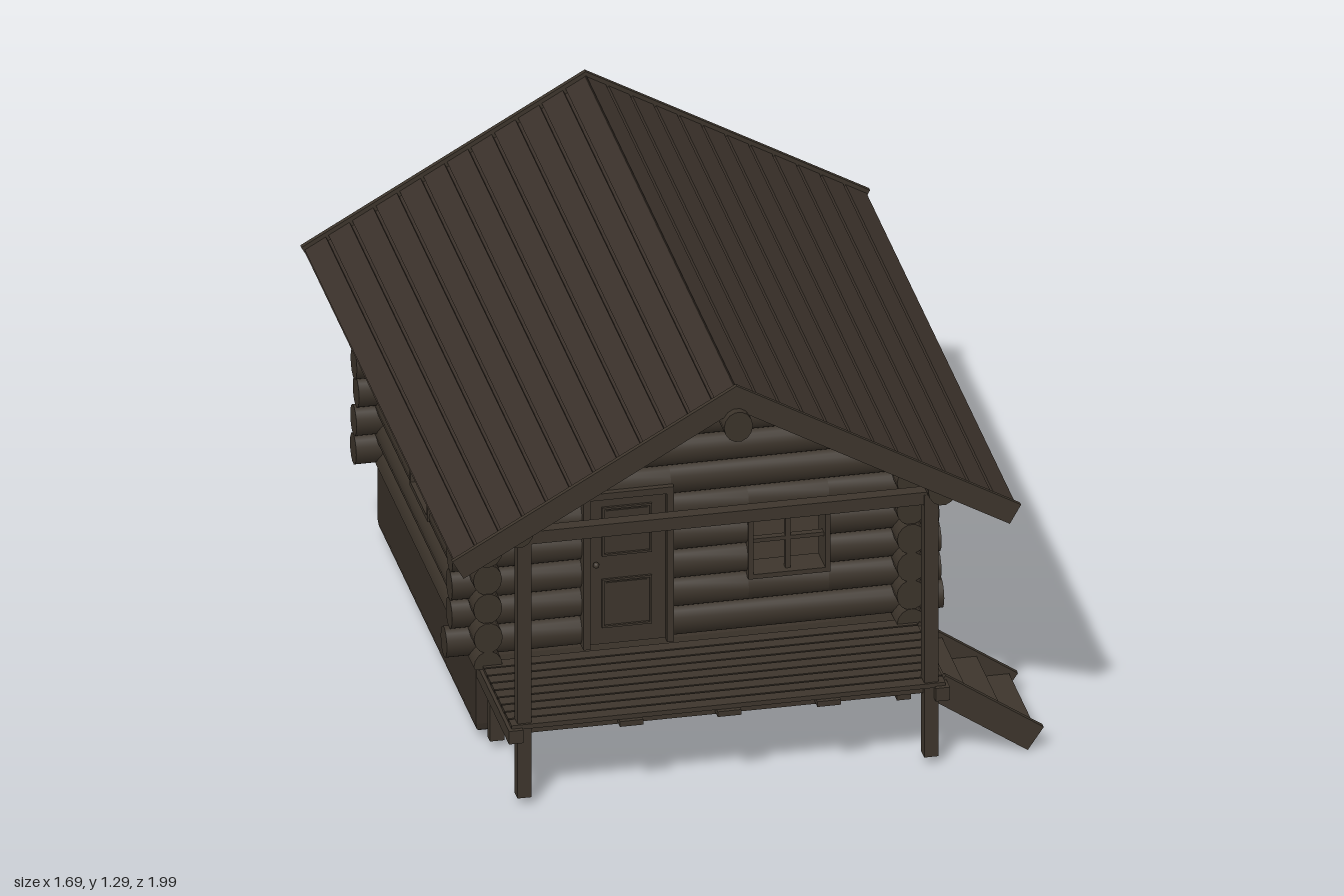
import * as THREE from 'three';
import { toCreasedNormals } from 'three/addons/utils/BufferGeometryUtils.js';

const mat = (name, color) => Object.assign(new THREE.MeshStandardMaterial({ color }), { name });
const logWood = mat('log wood', 0x3b332a);
const roofWood = mat('roof wood', 0x3a312a);
const trimWood = mat('trim wood', 0x3d352c);
const stone = mat('foundation', 0x372f27);

const CX = -0.045;                       // centre line of the house
const SLOPE = Math.atan(0.455 / 0.8);
const APEX = 1.295;
const R = 0.046, PITCH = 0.0875;         // log half height and row spacing

let seed = 7;
const rand = () => ((seed = (seed * 16807) % 2147483647) / 2147483647);
const jitter = () => (rand() - 0.5) * 0.02;

function box(parent, name, material, w, h, d, x, y, z) {
  const m = new THREE.Mesh(new THREE.BoxGeometry(w, h, d), material);
  m.name = name;
  m.position.set(x, y, z);
  parent.add(m);
  return m;
}

// Box given by its limits
const span = (parent, name, material, x0, x1, y0, y1, z0, z1) =>
  box(parent, name, material, x1 - x0, y1 - y0, z1 - z0, (x0 + x1) / 2, (y0 + y1) / 2, (z0 + z1) / 2);

// Log from a to b along an axis, cut flat at lo/hi and trimmed under the roof slope
function log(parent, name, axis, a, b, y, side, lo = -9, hi = 9) {
  const geo = new THREE.CylinderGeometry(R, R, b - a, 14).rotateZ(Math.PI / 2).scale(1, 1, 0.88);
  if (axis === 'z') geo.rotateY(Math.PI / 2);
  const mid = (a + b) / 2;
  geo.translate(axis === 'x' ? mid : side, y, axis === 'x' ? side : mid);
  const p = geo.attributes.position;
  for (let i = 0; i < p.count; i++) {
    const py = THREE.MathUtils.clamp(p.getY(i), lo, hi);
    p.setY(i, py);
    if (axis === 'x') {
      const half = Math.max(0, (1.25 - py) / Math.tan(SLOPE));
      p.setX(i, THREE.MathUtils.clamp(p.getX(i), CX - half, CX + half));
    }
  }
  const m = new THREE.Mesh(toCreasedNormals(geo, 0.6), logWood);
  m.name = name;
  parent.add(m);
}

// One row of a wall, interrupted by openings [u0, u1, v0, v1]
function row(parent, name, axis, a, b, y, side, holes) {
  let from = a;
  for (const [u0, u1, v0, v1] of holes) {
    if (y + R <= v0 || y - R >= v1) continue;
    log(parent, name, axis, from, u0, y, side);
    if (y + R > v1) log(parent, name, axis, u0, u1, y, side, v1);
    if (y - R < v0) log(parent, name, axis, u0, u1, y, side, -9, v0);
    from = u1;
  }
  log(parent, name, axis, from, b, y, side);
}

// Open window with a frame and a cross of glazing bars
function makeWindow(parent, name, x, z, turn) {
  const g = new THREE.Group();
  g.name = name;
  const w = 0.23, h = 0.215, t = 0.014;
  for (const s of [-1, 1]) {
    box(g, 'windowFrame', trimWood, t, h, 0.09, s * (w - t) / 2, 0, 0);
    box(g, 'windowFrame', trimWood, w, t, 0.09, 0, s * (h - t) / 2, 0);
  }
  box(g, 'glazingBar', trimWood, 0.014, h, 0.02, 0, 0, 0.015);
  box(g, 'glazingBar', trimWood, w, 0.012, 0.02, 0, 0, 0.015);
  g.position.set(x, 0.528, z);
  g.rotation.y = turn;
  parent.add(g);
}

function makeWalls(root) {
  const g = new THREE.Group();
  g.name = 'walls';
  const win = (c) => [c - 0.113, c + 0.113, 0.424, 0.632];
  const door = [-0.36, -0.115, 0.2, 0.733];
  for (let i = 0; i < 11; i++) {
    const y = 0.3 + PITCH * i;
    row(g, 'frontLog', 'x', CX - 0.69 + jitter(), CX + 0.69 + jitter(), y, 0.41, [door, win(0.217)]);
    row(g, 'backLog', 'x', CX - 0.69 + jitter(), CX + 0.69 + jitter(), y, -0.775, [win(-0.29)]);
  }
  for (const s of [-1, 1]) {
    const x = CX + s * 0.595;
    log(g, 'sillLog', 'z', -0.87, 0.5, 0.2575, x, 0.25);
    for (let i = 0; i < 6; i++)
      row(g, 'sideLog', 'z', -0.87 + jitter(), 0.502 + jitter(), 0.345 + PITCH * i, x, [win(-0.188)]);
    log(g, 'wallPlate', 'z', -0.9, 0.9, 0.87, x);
    makeWindow(g, 'sideWindow', x, -0.188, s * Math.PI / 2);
  }
  makeWindow(g, 'frontWindow', 0.217, 0.41, 0);
  makeWindow(g, 'backWindow', -0.29, -0.775, Math.PI);
  log(g, 'ridgeLog', 'z', -0.995, 0.995, 1.18, CX);
  root.add(g);
}

function makeDoor(root) {
  const g = new THREE.Group();
  g.name = 'door';
  span(g, 'doorLeaf', trimWood, -0.345, -0.13, 0.265, 0.72, 0.42, 0.45);
  for (const [x0, x1] of [[-0.365, -0.345], [-0.13, -0.11]])
    span(g, 'doorFrame', trimWood, x0, x1, 0.26, 0.737, 0.37, 0.468);
  span(g, 'doorFrame', trimWood, -0.365, -0.11, 0.718, 0.738, 0.37, 0.468);
  // Panels with a raised moulding round each
  for (const [y0, y1] of [[0.317, 0.466], [0.538, 0.688]]) {
    for (const x of [-0.31, -0.176]) span(g, 'panelMoulding', trimWood, x, x + 0.006, y0, y1, 0.45, 0.457);
    for (const y of [y0, y1 - 0.006]) span(g, 'panelMoulding', trimWood, -0.31, -0.17, y, y + 0.006, 0.45, 0.457);
    span(g, 'doorPanel', trimWood, -0.298, -0.182, y0 + 0.012, y1 - 0.012, 0.45, 0.453);
  }
  const knob = new THREE.Mesh(new THREE.SphereGeometry(0.009, 10, 8), trimWood);
  knob.name = 'doorKnob';
  knob.position.set(-0.328, 0.516, 0.462);
  g.add(knob);
  root.add(g);
}

function makeRoof(root) {
  const L = 0.92, n = 12, step = L / n;
  for (const s of [-1, 1]) {
    const g = new THREE.Group();
    g.name = s > 0 ? 'leftRoof' : 'rightRoof';
    g.position.set(CX, APEX, 0);
    g.rotation.z = -s * SLOPE;
    box(g, 'underBoards', roofWood, L - 0.02, 0.01, 1.92, s * (L / 2 + 0.01), -0.031, 0);
    for (let i = 0; i < n; i++)
      box(g, 'roofBoard', roofWood, step - 0.009, 0.014, 1.93, s * (i + 0.5) * step, -0.019, 0);
    box(g, 'eaveBoard', roofWood, 0.014, 0.038, 1.93, s * (L - 0.012), -0.045, 0);
    for (const z of [-0.965, 0.965])
      box(g, 'bargeBoard', trimWood, L, 0.064, 0.014, s * L / 2, -0.032, z);
    root.add(g);
  }
}

function makeBase(root) {
  // Foundation ring
  const x0 = -0.657, x1 = 0.557, z0 = -0.78, z1 = 0.455, t = 0.08;
  const ring = (d) => [[x0 + d, -z1 + d], [x1 - d, -z1 + d], [x1 - d, -z0 - d], [x0 + d, -z0 - d]]
    .map(([a, b]) => new THREE.Vector2(a, b));
  const shape = new THREE.Shape(ring(0));
  shape.holes.push(new THREE.Path(ring(t)));
  const geo = new THREE.ExtrudeGeometry(shape, {
    depth: 0.16, bevelEnabled: true, bevelSize: 0.01, bevelThickness: 0.025, bevelSegments: 2,
  });
  const m = new THREE.Mesh(geo.rotateX(-Math.PI / 2).translate(0, 0.065, 0), stone);
  m.name = 'foundation';
  root.add(m);

  // Floor boards and joists inside the ring
  const n = 26, w = 1.1 / n;
  for (let i = 0; i < n; i++)
    box(root, 'floorBoard', logWood, 1.1, 0.015, w - 0.008, CX, 0.235, -0.71 + (i + 0.5) * w);
  span(root, 'subFloor', logWood, x0 + 0.03, x1 - 0.03, 0.243, 0.25, z0 + 0.03, z1 - 0.03);
  for (const x of [-0.33, CX, 0.24]) box(root, 'floorJoist', logWood, 0.04, 0.03, 1.1, x, 0.213, -0.16);
}

function makePorch(root) {
  const g = new THREE.Group();
  g.name = 'porch';
  // Deck boards on joists
  const n = 9, w = 0.4 / n;
  for (let i = 0; i < n; i++)
    box(g, 'deckBoard', trimWood, 1.22, 0.014, w - 0.006, CX, 0.253, 0.47 + (i + 0.5) * w);
  for (const x of [-0.32, CX, 0.235]) span(g, 'deckJoist', trimWood, x - 0.033, x + 0.033, 0.23, 0.246, 0.47, 0.88);
  for (const z of [0.5, 0.83]) span(g, 'deckBeam', trimWood, -0.64, 0.55, 0.222, 0.246, z - 0.015, z + 0.015);
  for (const s of [-1, 1]) {
    box(g, 'sideJoist', trimWood, 0.04, 0.04, 0.42, CX + s * 0.6, 0.23, 0.67);
    const x = CX + s * 0.572;
    box(g, 'porchPost', trimWood, 0.04, 0.81, 0.04, x, 0.435, 0.84);
    box(g, 'deckPost', trimWood, 0.04, 0.18, 0.03, x, 0.12, 0.495);
  }
  span(g, 'frontBeam', trimWood, -0.66, 0.57, 0.81, 0.848, 0.82, 0.858);
  // Steps on the left end
  for (const z of [0.495, 0.825])
    box(g, 'stairStringer', trimWood, 0.335, 0.08, 0.018, 0.688, 0.135, z).rotation.z = -0.6;
  for (const y of [0.2, 0.132, 0.068])
    box(g, 'stairTread', trimWood, 0.085, 0.014, 0.325, 0.55 + (0.23 - y) * 1.43, y, 0.66);
  root.add(g);
}

export function createModel() {
  const root = new THREE.Group();
  root.name = 'logCabin';
  makeBase(root);
  makeWalls(root);
  makeDoor(root);
  makeRoof(root);
  makePorch(root);
  return root;
}
